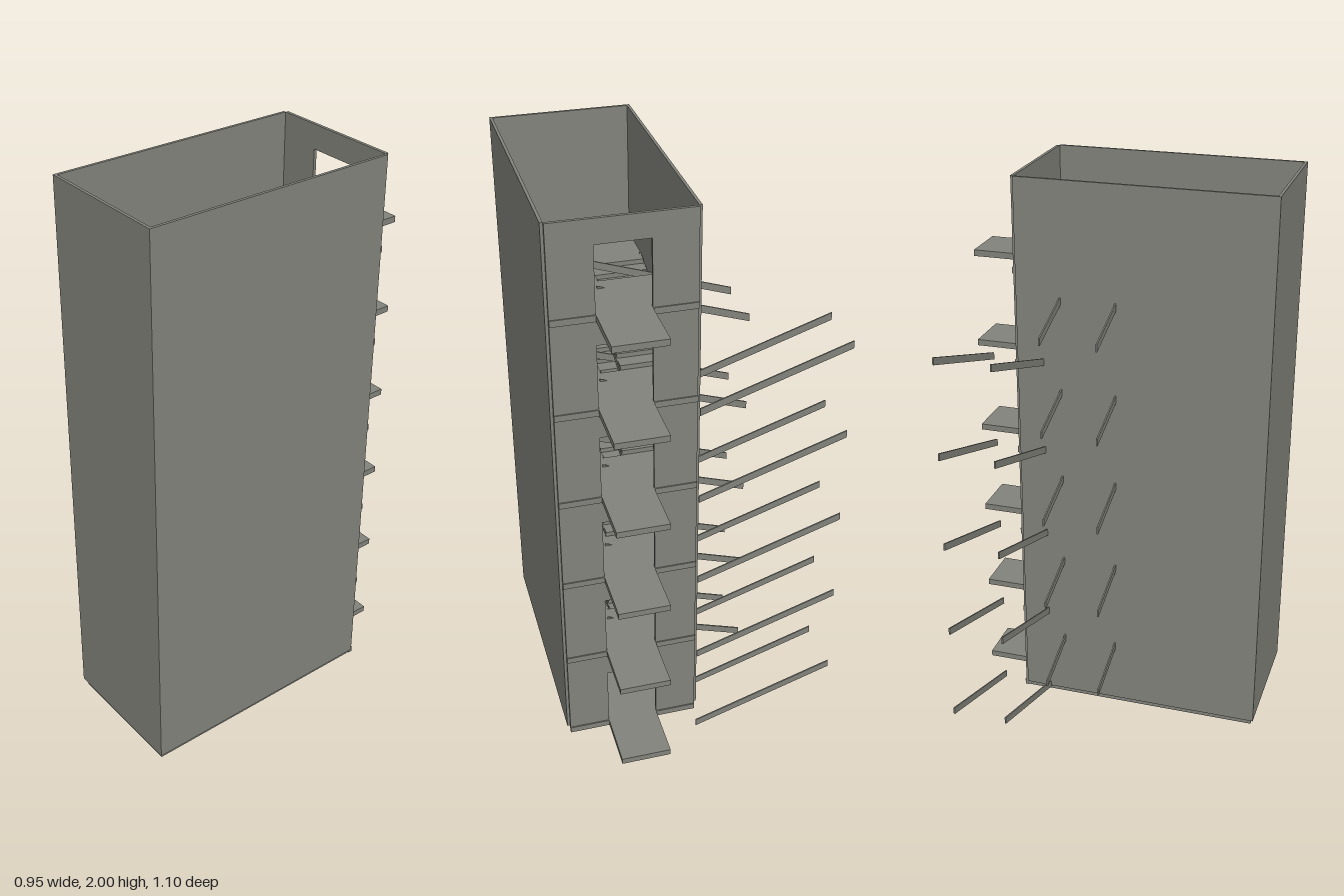
import * as THREE from 'three';

const STOREY = 1 / 3, HALF = STOREY / 2, SLAB = 0.022, STEPS = 10;
const Z_BACK = -0.13, Z_FRONT = 0.37; // ends of the stair flights

export function createModel() {
  const model = new THREE.Group();
  model.name = 'stairTower';
  const concrete = new THREE.MeshStandardMaterial({ color: 0x82837b });
  concrete.name = 'concrete grey';

  const add = (name, geometry) => {
    const mesh = new THREE.Mesh(geometry, concrete);
    mesh.name = name;
    model.add(mesh);
    return mesh;
  };
  // box given by its limits
  const box = (name, x0, x1, y0, y1, z0, z1) =>
    add(name, new THREE.BoxGeometry(x1 - x0, y1 - y0, z1 - z0))
      .position.set((x0 + x1) / 2, (y0 + y1) / 2, (z0 + z1) / 2);
  const extrude = (points, depth) => new THREE.ExtrudeGeometry(
    new THREE.Shape(points.map(([x, y]) => new THREE.Vector2(x, y))),
    { depth, bevelEnabled: false });
  // outline drawn in (z, y), extruded from x0 to x1
  const sideProfile = (name, points, x0, x1) => {
    const mesh = add(name, extrude(points, x1 - x0));
    mesh.rotation.y = -Math.PI / 2;
    mesh.position.x = x1;
  };
  // sloping beam outline between two ends
  const beam = (a, ya, b, yb, h) => [[a, ya], [b, yb], [b, yb + h], [a, ya + h]];

  // outer walls, open at the top
  box('rightWall', -0.01, 0, SLAB, 2, -0.338, 0.55);
  box('leftWall', 0.465, 0.475, SLAB, 2, -0.338, 0.55);
  box('frontWall', 0, 0.465, SLAB, 2, 0.54, 0.55);

  // back wall with one doorway per storey
  const wall = new THREE.Shape([[0, 0], [0.465, 0], [0.465, 2], [0, 2]]
    .map(([x, y]) => new THREE.Vector2(x, y)));
  for (let k = 0; k < 6; k++) {
    const y0 = k * STOREY + SLAB / 2, y1 = k * STOREY + 0.25;
    wall.holes.push(new THREE.Path([[0.145, y0], [0.145, y1], [0.322, y1], [0.322, y0]]
      .map(([x, y]) => new THREE.Vector2(x, y))));
  }
  add('backWall', new THREE.ExtrudeGeometry(wall, { depth: 0.011, bevelEnabled: false }))
    .position.z = -0.348;

  // ground slab
  box('groundSlab', 0.003, 0.462, 0, SLAB, -0.337, 0.54);

  // sawtooth flight with a sloping soffit, climbing from zLow to zHigh
  const flight = (name, x0, x1, y, zLow, zHigh) => {
    const run = (zHigh - zLow) / STEPS, rise = HALF / STEPS;
    const points = [[zLow, y - SLAB]];
    for (let i = 0; i < STEPS; i++) {
      points.push([zLow + i * run, y + (i + 1) * rise], [zLow + (i + 1) * run, y + (i + 1) * rise]);
    }
    points.push([zHigh, y + HALF - SLAB]);
    sideProfile(name, points, x0, x1);
    // thin strings on the open side and at the wall
    for (const x of [x0 - 0.0025, x1 - 0.0025]) {
      sideProfile(name + 'String', beam(zLow, y - SLAB, zHigh, y + HALF - SLAB, 0.025), x, x + 0.005);
    }
  };

  for (let k = 0; k < 6; k++) {
    const y = k * STOREY, top = y + SLAB;
    // floor landing, door sill strip and outside balcony
    if (k > 0) box('floorLanding', 0, 0.465, y, top, -0.338, Z_BACK);
    box('sillStrip', 0, 0.465, y, top, -0.352, -0.337);
    box('balcony', 0.145, 0.322, y, top, -0.55, -0.35);
    if (k === 5) break;

    // half landing and the two flights
    box('halfLanding', 0, 0.465, y + HALF, top + HALF, Z_FRONT, 0.54);
    flight('lowerFlight', 0.0035, 0.2, top, Z_BACK, Z_FRONT);
    flight('upperFlight', 0.265, 0.461, top + HALF, Z_FRONT, Z_BACK);

    // sloping bars that reach out through the right side
    for (const z of [-0.44, -0.245]) {
      add('longBar', extrude(beam(-0.48, y + 0.172, 0.02, y + 0.005, 0.026), 0.005)).position.z = z - 0.0025;
    }
    for (const z of [-0.181, 0.015]) {
      add('shortBar', extrude(beam(-0.22, y + 0.171, 0.28, y + 0.338, 0.026), 0.005)).position.z = z - 0.0025;
    }
  }

  // small half-round wall lamps on the top storey
  for (const z of [-0.335, 0.537]) {
    const lamp = add('wallLamp', new THREE.CylinderGeometry(0.02, 0.02, 0.005, 16, 1, false, 0, Math.PI));
    lamp.rotation.set(Math.PI / 2, Math.PI / 2, 0);
    lamp.position.set(0.42, 1.76, z);
  }
  return model;
}
